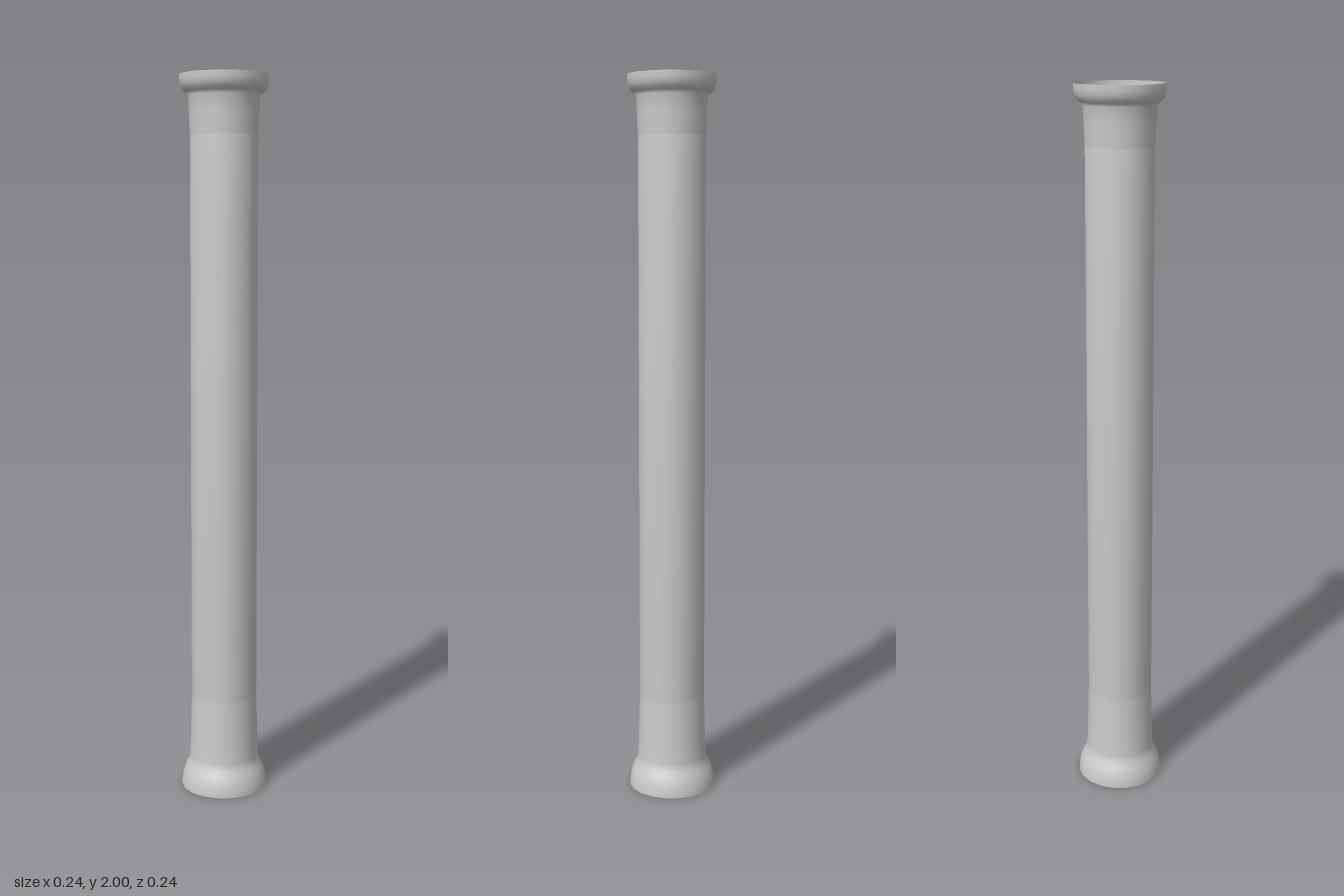
import * as THREE from 'three';

const SIDES = 20;
const material = new THREE.MeshStandardMaterial({ color: 0xcccccc, side: THREE.DoubleSide });

// Turns a [radius, height] profile, listed bottom to top, around the y axis
function turned(name, profile) {
  const points = profile.map(([r, y]) => new THREE.Vector2(r, y));
  const mesh = new THREE.Mesh(new THREE.LatheGeometry(points, SIDES), material);
  mesh.name = name;
  return mesh;
}

export function createModel() {
  const column = new THREE.Group();
  column.name = 'column';

  // Closed shaft, with its end caps softly shaded into the sides
  column.add(turned('shaft', [[0, 0.1], [0.093, 0.1], [0.093, 1.945], [0, 1.945]]));

  // Open flared foot with a thin sleeve tapering onto the shaft
  column.add(turned('base', [
    [0.122, 0], [0.122, 0.012], [0.118, 0.035], [0.111, 0.055],
    [0.102, 0.072], [0.098, 0.09], [0.096, 0.16], [0.093, 0.27],
  ]));

  // Open cup-shaped top with a matching sleeve
  column.add(turned('capital', [
    [0.093, 1.84], [0.096, 1.9], [0.098, 1.945], [0.106, 1.953],
    [0.115, 1.96], [0.12, 1.973], [0.122, 1.985], [0.122, 2],
  ]));

  return column;
}
